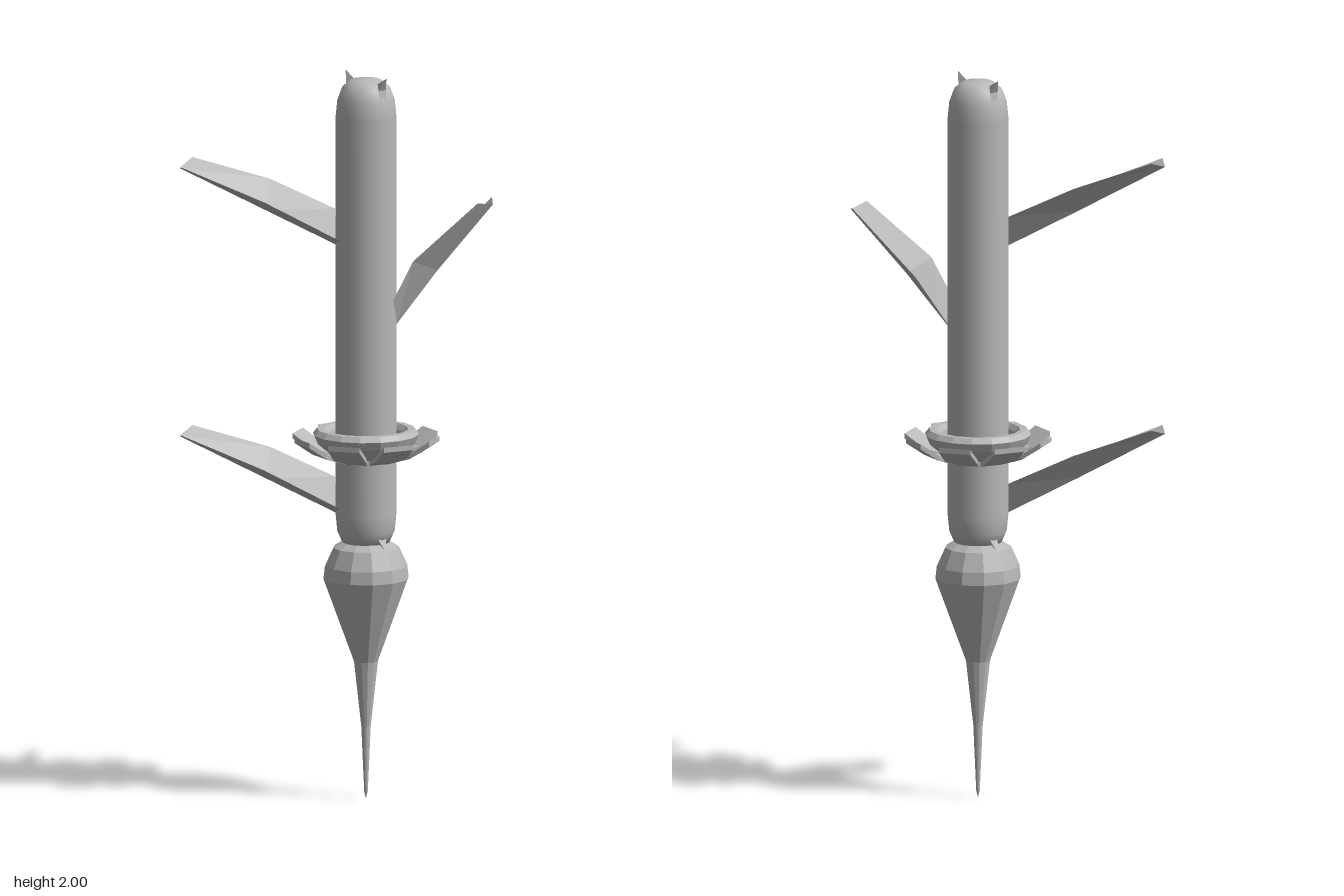
import * as THREE from 'three';

const grey = new THREE.MeshStandardMaterial({ color: 0xb8b8b8 });
grey.name = 'grey';
grey.flatShading = true;
grey.side = THREE.DoubleSide;
const smoothGrey = grey.clone();
smoothGrey.flatShading = false;

function add(parent, name, geometry, material = grey) {
  const mesh = new THREE.Mesh(geometry, material);
  mesh.name = name;
  parent.add(mesh);
  return mesh;
}

function lathe(points, sides) {
  return new THREE.LatheGeometry(points.map(([r, y]) => new THREE.Vector2(r, y)), sides);
}

// Surface strips joining rows of points, one row per cross-section
function loft(rows) {
  const pos = [];
  for (let i = 0; i < rows.length - 1; i++) {
    for (let j = 0; j < rows[i].length - 1; j++) {
      const a = rows[i][j], b = rows[i][j + 1], c = rows[i + 1][j + 1], d = rows[i + 1][j];
      pos.push(...a, ...b, ...c, ...a, ...c, ...d);
    }
  }
  const g = new THREE.BufferGeometry();
  g.setAttribute('position', new THREE.Float32BufferAttribute(pos, 3));
  g.computeVertexNormals();
  return g;
}

export function createModel() {
  const model = new THREE.Group();
  model.name = 'budStalk';
  const axis = new THREE.Group();
  axis.name = 'stalk';
  axis.position.set(0.065, 0, 0.055);
  model.add(axis);

  // Stem with rounded ends
  add(axis, 'stem', lathe([
    [0, 0.695], [0.04, 0.697], [0.065, 0.71], [0.078, 0.74], [0.083, 0.79],
    [0.083, 1.88], [0.078, 1.93], [0.065, 1.965], [0.04, 1.985], [0, 1.988],
  ], 20), smoothGrey);

  // Pointed root and swollen bulb
  add(axis, 'bulb', lathe([
    [0, 0], [0.005, 0.02], [0.013, 0.2], [0.033, 0.38], [0.117, 0.61],
    [0.113, 0.645], [0.09, 0.695], [0.065, 0.71], [0, 0.712],
  ], 12));

  // Pinched horns at both ends of the stem, front and back
  for (const side of [1, -1]) {
    for (const [end, dir] of [[2, 1], [0.69, -1]]) {
      const y = (drop) => end - dir * drop;
      const tip = [0, y(0), side * 0.088];
      const inner = [0, y(0.02), side * 0.05];
      const foot = [0, y(0.14), side * 0.083];
      const left = [0.013, y(0.035), side * 0.07];
      const right = [-0.013, y(0.035), side * 0.07];
      add(axis, 'horn', loft([[tip, tip, tip], [left, inner, right], [foot, foot, foot]]));
      add(axis, 'hornBack', loft([[tip, tip], [left, right], [foot, foot]]));
    }
  }

  // Collar ring around the stem
  add(axis, 'collar', lathe([
    [0.08, 0.98], [0.098, 0.985], [0.103, 1.008], [0.115, 1.022], [0.133, 1.022],
    [0.145, 1.008], [0.135, 0.985], [0.105, 0.96], [0.08, 0.945],
  ], 16));

  // Eight petals flaring out under the collar
  const section = (r, half, y) => [
    [r, y, -half], [r, y, half], [r, y - 0.014, half], [r, y - 0.014, -half], [r, y, -half],
  ];
  for (let i = 0; i < 8; i++) {
    const petal = add(axis, 'petal', loft([
      section(0.07, 0.026, 0.945), section(0.14, 0.046, 0.968),
      section(0.195, 0.045, 1.005), section(0.195, 0, 1.005),
    ]));
    petal.rotation.y = -THREE.MathUtils.degToRad(12 + 45 * i);
  }

  // Creased leaves: rows run from base to tip as edge, crease, edge
  const backLeaf = loft([
    [[0.03, 1.62, -0.035], [0.0, 1.53, 0.005], [-0.005, 1.54, 0.05]],
    [[-0.1, 1.7, -0.155], [-0.15, 1.625, -0.11], [-0.215, 1.665, -0.035]],
    [[-0.28, 1.765, -0.267], [-0.342, 1.745, -0.248], [-0.375, 1.757, -0.195]],
  ]);
  add(model, 'upperBackLeaf', backLeaf);
  add(model, 'lowerBackLeaf', backLeaf).position.y = -0.74;

  add(model, 'frontLeaf', loft([
    [[0.145, 1.29, 0.05], [0.132, 1.31, 0.105], [0.092, 1.385, 0.14]],
    [[0.265, 1.465, 0.075], [0.225, 1.455, 0.165], [0.14, 1.49, 0.165]],
    [[0.375, 1.648, 0.215], [0.35, 1.635, 0.25], [0.285, 1.648, 0.265]],
  ]));

  return model;
}
